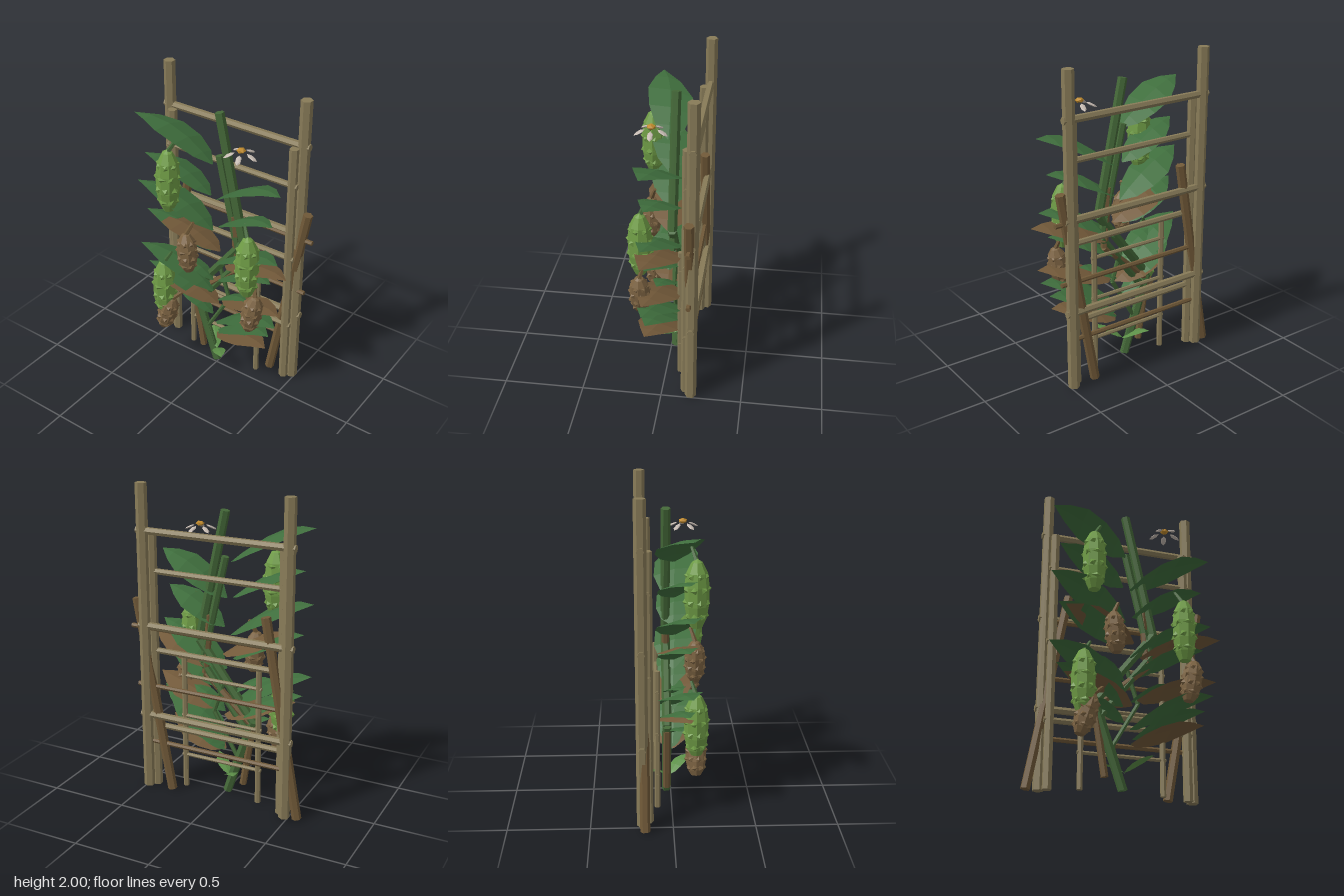
import * as THREE from 'three';

const mat = (color, side = THREE.FrontSide) =>
  new THREE.MeshStandardMaterial({ color, flatShading: true, side });
const V = (x, y, z) => new THREE.Vector3(x, y, z);
const UP = V(0, 1, 0);

const WOOD = mat(0x887b58), DEAD = mat(0x705938), STEM = mat(0x446838);
const LEAF = mat(0x3f6e3d, THREE.DoubleSide), DEADLEAF = mat(0x735a3a, THREE.DoubleSide);
const SPROUT = mat(0x5c8f48, THREE.DoubleSide), FRUIT = mat(0x6f9c46), DEADFRUIT = mat(0x7c6342);
const PETAL = mat(0xc4b9b0, THREE.DoubleSide), GOLD = mat(0xc08a2c);

function add(parent, name, geometry, material) {
  const m = new THREE.Mesh(geometry, material);
  m.name = name;
  parent.add(m);
  return m;
}

// Straight pole between two points
function pole(parent, name, a, b, r, material, sides = 6, r2 = r) {
  const d = b.clone().sub(a);
  const m = add(parent, name, new THREE.CylinderGeometry(r2, r, d.length(), sides), material);
  m.position.copy(a).add(b).multiplyScalar(0.5);
  m.quaternion.setFromUnitVectors(UP, d.normalize());
}

// Two posts and their crossbars, each given as [height, centre x]
function trellis(parent, name, o) {
  const g = new THREE.Group();
  g.name = name;
  const { cx = 0, lean = 0 } = o;
  for (const s of [-1, 1]) {
    const x = cx + s * o.x;
    pole(g, 'post', V(x, 0.01, o.z), V(x + lean, o.h, o.z), o.r, o.mat);
  }
  for (const [y, c] of o.rungs)
    pole(g, 'crossbar', V(c - o.half, y, o.z), V(c + o.half, y, o.z), o.bar, o.mat);
  parent.add(g);
}

// Zigzag climbing stem
function stem(parent, name, pts, r, material) {
  for (let i = 0; i < pts.length - 1; i++) {
    const [a, b] = [pts[i], pts[i + 1]].map(p => V(p[0], p[1], -0.028));
    pole(parent, name, a, b, r, material);
  }
}

// Arched leaf along +x: midrib and two edges from cross-sections, tip at t = 1
function leafGeometry(length, width, rise, tilt = 0.2) {
  const ts = [0, 0.14, 0.34, 0.58, 0.8, 1], ws = [0.05, 0.64, 0.95, 1, 0.57, 0];
  const pos = [], idx = [];
  ts.forEach((t, i) => {
    const w = ws[i] * width, y = rise * (2 * t - t * t);
    const z = width * (0.15 + 0.17 * t + 0.53 * t * t * t);
    for (const s of [-1, 0, 1])
      pos.push(t * length, y + s * w * tilt - (s ? 0.14 * w : 0), z + s * w);
    if (i) for (const k of [0, 1]) {
      const a = (i - 1) * 3 + k, b = a + 3;
      idx.push(a, a + 1, b, a + 1, b + 1, b);
    }
  });
  const g = new THREE.BufferGeometry();
  g.setAttribute('position', new THREE.Float32BufferAttribute(pos, 3));
  g.setIndex(idx);
  g.computeVertexNormals();
  return g;
}

// Leaf on side s (-1 or 1), given by its base and tip heights
function leaf(parent, name, s, x0, xTip, yBase, yTip, width, material) {
  const g = leafGeometry(Math.abs(xTip - x0), width, yTip - yBase);
  const m = add(parent, name, g, material);
  m.position.set(x0, yBase, 0);
  m.scale.x = s;
}

// Hanging fruit covered in broad pyramids, with a short stalk
function fruit(parent, name, x, y, h, r, lean, material, stalkMat) {
  const g = new THREE.Group();
  g.name = name;
  const prof = [[0, -0.5], [0.4, -0.49], [0.68, -0.36], [0.85, -0.16], [0.87, 0.12],
    [0.74, 0.32], [0.38, 0.47], [0, 0.52]];
  const body = prof.map(p => new THREE.Vector2(p[0] * r, p[1] * h));
  add(g, 'fruitBody', new THREE.LatheGeometry(body, 8), material);
  [-0.31, -0.11, 0.09, 0.28].forEach((f, row) => {
    const rr = r * (0.84 - 1.6 * f * f);
    for (let i = 0; i < 7; i++) {
      const a = (i + (row % 2) / 2) / 7 * Math.PI * 2 + Math.PI / 2;
      const c = add(g, 'spike', new THREE.ConeGeometry(r * 0.46, r * 0.34, 4), material);
      c.position.set(Math.cos(a) * rr, f * h, Math.sin(a) * rr);
      c.quaternion.setFromUnitVectors(UP, V(Math.cos(a), f * 0.7, Math.sin(a)).normalize());
    }
  });
  pole(g, 'stalk', V(0, h * 0.46, 0), V(-Math.sign(x) * 0.045, h * 0.46 + 0.085, -0.03), 0.016, stalkMat, 5, 0.01);
  g.position.set(x, y, 0.145);
  g.rotation.z = lean;
  parent.add(g);
}

export function createModel() {
  const root = new THREE.Group();
  root.name = 'climbingPlantOnTrellis';

  // Nested frames and a withered leaning one
  trellis(root, 'tallTrellis', { x: 0.48, z: -0.184, h: 2, r: 0.036, bar: 0.023, half: 0.52, rungs: [[0.515, 0], [1.113, 0], [1.712, 0]], mat: WOOD });
  trellis(root, 'middleTrellis', { x: 0.438, z: -0.147, h: 1.7, r: 0.03, bar: 0.019, half: 0.473, rungs: [[0.435, 0], [0.945, 0], [1.457, 0]], mat: WOOD });
  trellis(root, 'smallTrellis', { x: 0.257, z: -0.09, h: 0.92, r: 0.018, bar: 0.012, half: 0.277, rungs: [[0.235, 0], [0.51, 0], [0.785, 0]], mat: WOOD });
  trellis(root, 'witheredTrellis', { x: 0.437, cx: -0.122, lean: 0.225, z: -0.17, h: 1.28, r: 0.03, bar: 0.015, half: 0.5, rungs: [[0.325, -0.02], [0.71, 0.045], [1.095, 0.08]], mat: DEAD });

  // Stems
  stem(root, 'mainStem', [[-0.015, 0.01], [-0.19, 0.53], [0.18, 1.02], [0, 1.85]], 0.029, STEM);
  stem(root, 'middleStem', [[-0.01, 0.01], [-0.155, 0.45], [0.16, 0.87], [0, 1.57]], 0.024, STEM);
  stem(root, 'youngStem', [[0, 0.01], [-0.08, 0.27], [0.08, 0.55], [0, 0.8]], 0.014, STEM);
  stem(root, 'witheredStem', [[-0.125, 0.08], [-0.19, 0.5], [0.14, 0.8], [0.11, 1.19]], 0.023, DEAD);

  // Leaves alternate sides up the stems
  for (let i = 0; i < 6; i++) {
    const s = i % 2 ? 1 : -1;
    leaf(root, 'largeLeaf', s, s * 0.015, s * 0.518, 1.53 - i * 0.232, 1.765 - i * 0.232, 0.137, LEAF);
    leaf(root, 'middleLeaf', s, s * 0.03, s * 0.465, 1.31 - i * 0.2, 1.505 - i * 0.2, 0.12, LEAF);
  }
  for (let i = 0; i < 4; i++) {
    const s = i % 2 ? 1 : -1;
    leaf(root, 'youngLeaf', s, s * 0.02, s * 0.27, 0.68 - i * 0.135, 0.8 - i * 0.135, 0.07, LEAF);
  }

  // Withered leaves: [side, base x, tip x, base y, tip y]
  for (const [s, x0, x1, y0, y1] of [[-1, 0.04, -0.42, 0.93, 1.09], [1, 0.08, 0.578, 0.84, 0.985],
    [-1, 0.03, -0.42, 0.52, 0.65], [1, 0.06, 0.54, 0.56, 0.7], [1, 0.02, 0.45, 0.28, 0.41]])
    leaf(root, 'witheredLeaf', s, x0, x1, y0, y1, 0.13, DEADLEAF);

  // Ground sprout leaves
  for (const [turn, len] of [[-0.6, 0.19], [2.4, 0.18]]) {
    const m = add(root, 'sproutLeaf', leafGeometry(len, 0.042, 0.08, 0), SPROUT);
    m.position.set(-0.01, 0.11, -0.01);
    m.rotation.y = turn;
  }

  // Hanging fruits
  for (const [x, y] of [[-0.255, 1.395], [0.325, 1.0], [-0.31, 0.585]])
    fruit(root, 'fruit', x, y, 0.41, 0.085, 0, FRUIT, STEM);
  for (const [x, y, lean] of [[-0.12, 0.93, 0.08], [0.365, 0.67, -0.18], [-0.29, 0.39, -0.3]])
    fruit(root, 'witheredFruit', x, y, 0.27, 0.073, lean, DEADFRUIT, DEAD);

  // Flower with drooping petals
  const flower = new THREE.Group();
  flower.name = 'flower';
  const heart = add(flower, 'flowerCentre', new THREE.IcosahedronGeometry(0.028, 0), GOLD);
  heart.scale.y = 0.6;
  for (let i = 0; i < 5; i++) {
    const arm = new THREE.Group();
    arm.name = 'petalArm';
    arm.rotation.y = 0.05 + i / 5 * Math.PI * 2;
    const p = add(arm, 'petal', new THREE.SphereGeometry(1, 6, 4), PETAL);
    p.scale.set(0.036, 0.007, 0.018);
    p.position.set(0.07, -0.027, 0);
    p.rotation.z = -0.45;
    flower.add(arm);
  }
  flower.position.set(0.23, 1.725, 0.085);
  root.add(flower);

  return root;
}
